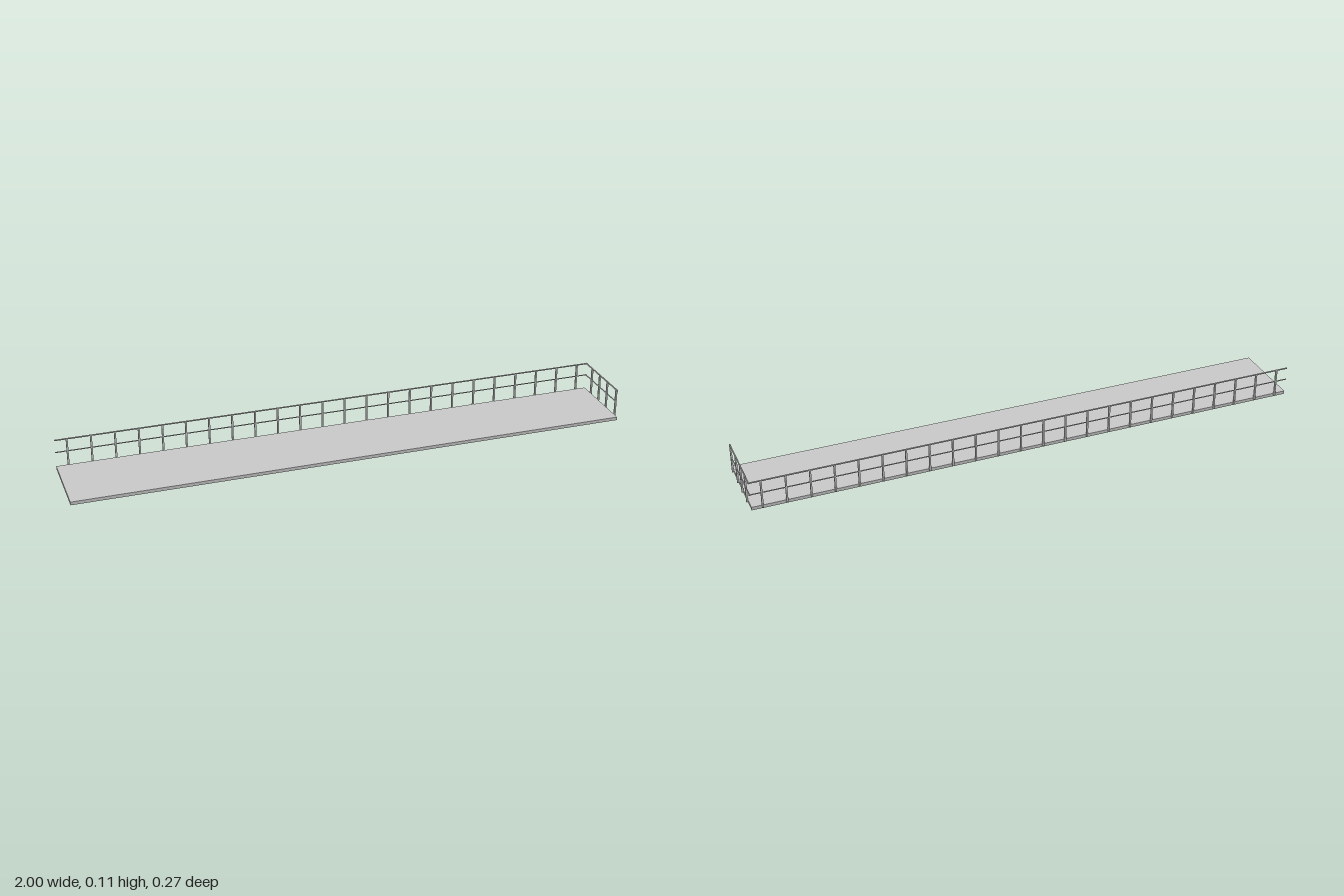
import * as THREE from 'three';

const X0 = -1, X1 = 0.989;      // deck ends
const Z0 = -0.13, Z1 = 0.137;   // deck back and front edges
const DECK_TOP = 0.012;

export function createModel() {
  const model = new THREE.Group();
  const material = new THREE.MeshStandardMaterial({ color: 0xcccccc, flatShading: true });

  // Box given by its minimum and maximum on each axis
  const box = (parent, name, x0, x1, y0, y1, z0, z1) => {
    const mesh = new THREE.Mesh(new THREE.BoxGeometry(x1 - x0, y1 - y0, z1 - z0), material);
    mesh.position.set((x0 + x1) / 2, (y0 + y1) / 2, (z0 + z1) / 2);
    mesh.name = name;
    parent.add(mesh);
  };

  // Walkway plate with a rim and cross beams beneath it
  const deck = new THREE.Group();
  deck.name = 'deck';
  model.add(deck);
  const rim = 0.006, under = 0.009;
  box(deck, 'deckPlate', X0, X1, under, DECK_TOP, Z0, Z1);
  box(deck, 'backEdgeBeam', X0, X1, 0, under, Z0, Z0 + rim);
  box(deck, 'frontEdgeBeam', X0, X1, 0, under, Z1 - rim, Z1);
  box(deck, 'rightEndBeam', X0, X0 + rim, 0, under, Z0 + rim, Z1 - rim);
  box(deck, 'leftEndBeam', X1 - rim, X1, 0, under, Z0 + rim, Z1 - rim);
  const bays = 7, beamHalf = 0.016;
  for (let i = 1; i < bays; i++) {
    const x = X0 + (X1 - X0) * i / bays;
    box(deck, 'crossBeam', x - beamHalf, x + beamHalf, 0.002, under, Z0 + rim, Z1 - rim);
  }

  // Round bar between two points
  const bar = (parent, name, a, b, radius) => {
    const from = new THREE.Vector3(...a), to = new THREE.Vector3(...b);
    const dir = to.clone().sub(from);
    const mesh = new THREE.Mesh(new THREE.CylinderGeometry(radius, radius, dir.length(), 8), material);
    mesh.position.copy(from).add(to).multiplyScalar(0.5);
    mesh.quaternion.setFromUnitVectors(new THREE.Vector3(0, 1, 0), dir.normalize());
    mesh.name = name;
    parent.add(mesh);
  };

  const railZ = -0.1325, railX = 0.992; // centre lines outside the deck edges
  const topY = 0.109, midY = 0.063, postBottom = 0.005;
  const postHalf = 0.003;

  // Long railing along the back
  const backRailing = new THREE.Group();
  backRailing.name = 'backRailing';
  model.add(backRailing);
  for (let i = 0; i < 24; i++) {
    const x = -0.957 + i * 0.083;
    box(backRailing, 'backPost', x - postHalf, x + postHalf, postBottom, topY, railZ - postHalf, railZ + postHalf);
  }
  bar(backRailing, 'backTopRail', [X0, topY, railZ], [0.995, topY, railZ], 0.0026);
  bar(backRailing, 'backMiddleRail', [X0, midY, railZ], [0.995, midY, railZ], 0.002);

  // Short railing across the left end
  const endRailing = new THREE.Group();
  endRailing.name = 'endRailing';
  model.add(endRailing);
  for (const z of [0.111, 0.04, -0.021, -0.083]) {
    box(endRailing, 'endPost', railX - postHalf, railX + postHalf, postBottom, topY, z - postHalf, z + postHalf);
  }
  bar(endRailing, 'endTopRail', [railX, topY, 0.12], [railX, topY, -0.135], 0.0026);
  bar(endRailing, 'endMiddleRail', [railX, midY, 0.111], [railX, midY, -0.135], 0.002);

  return model;
}
